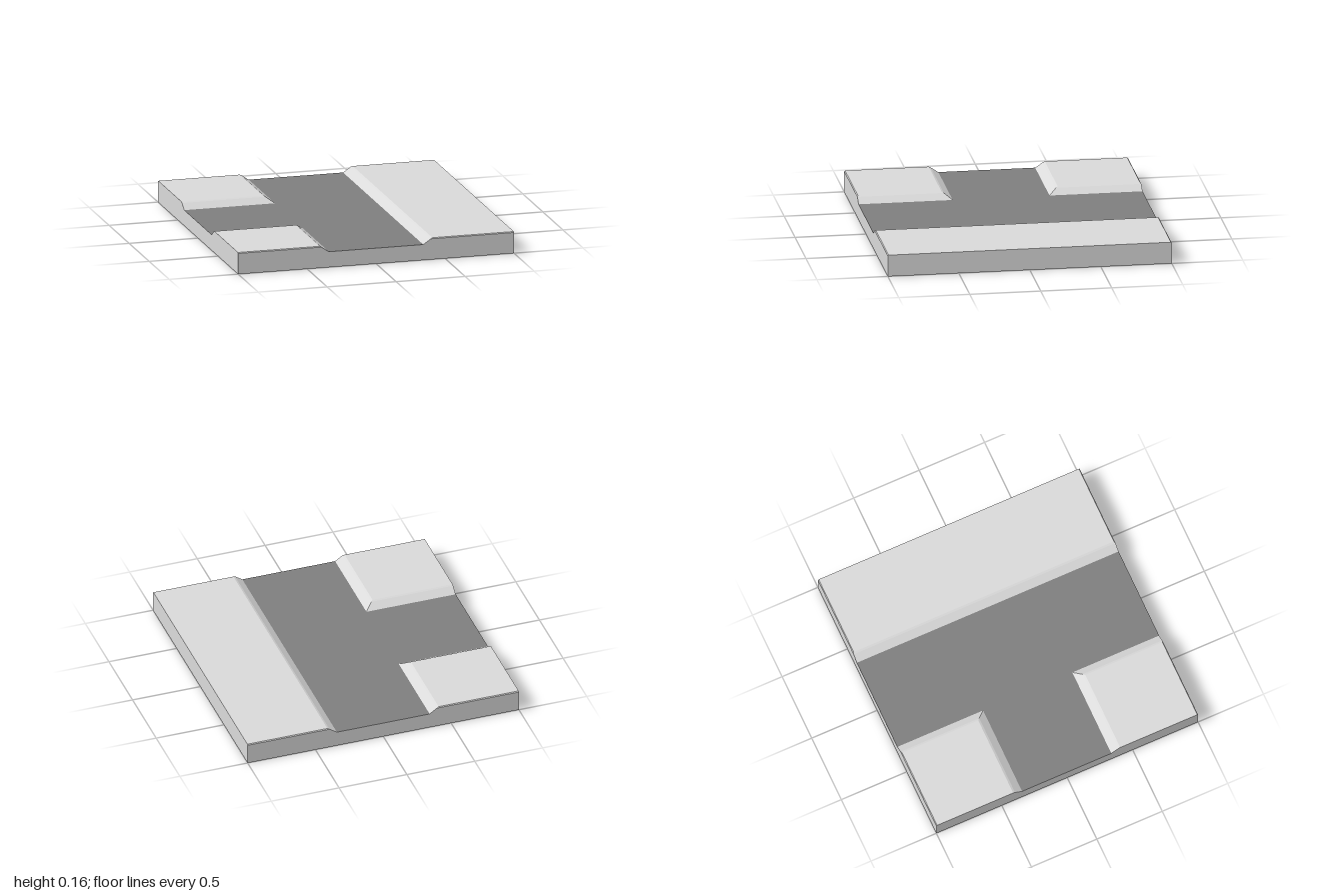
import * as THREE from 'three';

const pavementMat = new THREE.MeshStandardMaterial({ color: 0xdadada });
pavementMat.name = 'light concrete';
const roadMat = new THREE.MeshStandardMaterial({ color: 0x7f7f7f });
roadMat.name = 'road asphalt';

const ROAD_Y = 0.112;
const TOP_Y = 0.155;
// Height and inset of each ring, for kerb slopes, bevelled edges and plain edges
const RINGS = [
  { y: ROAD_Y, kerb: 0, bevel: 0, plain: 0 },
  { y: 0.149, kerb: 0.054, bevel: 0, plain: 0 },
  { y: TOP_Y, kerb: 0.068, bevel: 0.006, plain: 0 },
];

// Raised block made of stacked rectangles; sides name the edge type at each end
function raisedBlock(name, [x0, x1, z0, z1], [left, right, back, front]) {
  const rings = RINGS.map((r) => [
    [x0 + r[left], r.y, z1 - r[front]],
    [x1 - r[right], r.y, z1 - r[front]],
    [x1 - r[right], r.y, z0 + r[back]],
    [x0 + r[left], r.y, z0 + r[back]],
  ]);
  const pos = [];
  const quad = (a, b, c, d) => pos.push(...a, ...b, ...c, ...a, ...c, ...d);
  for (let i = 0; i < rings.length - 1; i++) {
    for (let k = 0; k < 4; k++) {
      const n = (k + 1) % 4;
      quad(rings[i][k], rings[i][n], rings[i + 1][n], rings[i + 1][k]);
    }
  }
  quad(...rings[rings.length - 1]);
  const geo = new THREE.BufferGeometry();
  geo.setAttribute('position', new THREE.Float32BufferAttribute(pos, 3));
  geo.computeVertexNormals();
  const mesh = new THREE.Mesh(geo, pavementMat);
  mesh.name = name;
  return mesh;
}

export function createModel() {
  const group = new THREE.Group();
  group.name = 'roadJunctionTile';

  // Base slab, its top face being the road surface
  const p = pavementMat;
  const base = new THREE.Mesh(
    new THREE.BoxGeometry(2, ROAD_Y, 2),
    [p, p, roadMat, p, p, p],
  );
  base.position.y = ROAD_Y / 2;
  base.name = 'baseWithRoad';
  group.add(base);

  // Long pavement along one side and two corner pavements by the side road
  group.add(
    raisedBlock('longPavement', [0.342, 1, -1, 1], ['kerb', 'plain', 'bevel', 'bevel']),
    raisedBlock('backCornerPavement', [-1, -0.342, -1, -0.345], ['plain', 'kerb', 'bevel', 'kerb']),
    raisedBlock('frontCornerPavement', [-1, -0.342, 0.337, 1], ['plain', 'kerb', 'kerb', 'bevel']),
  );
  return group;
}
